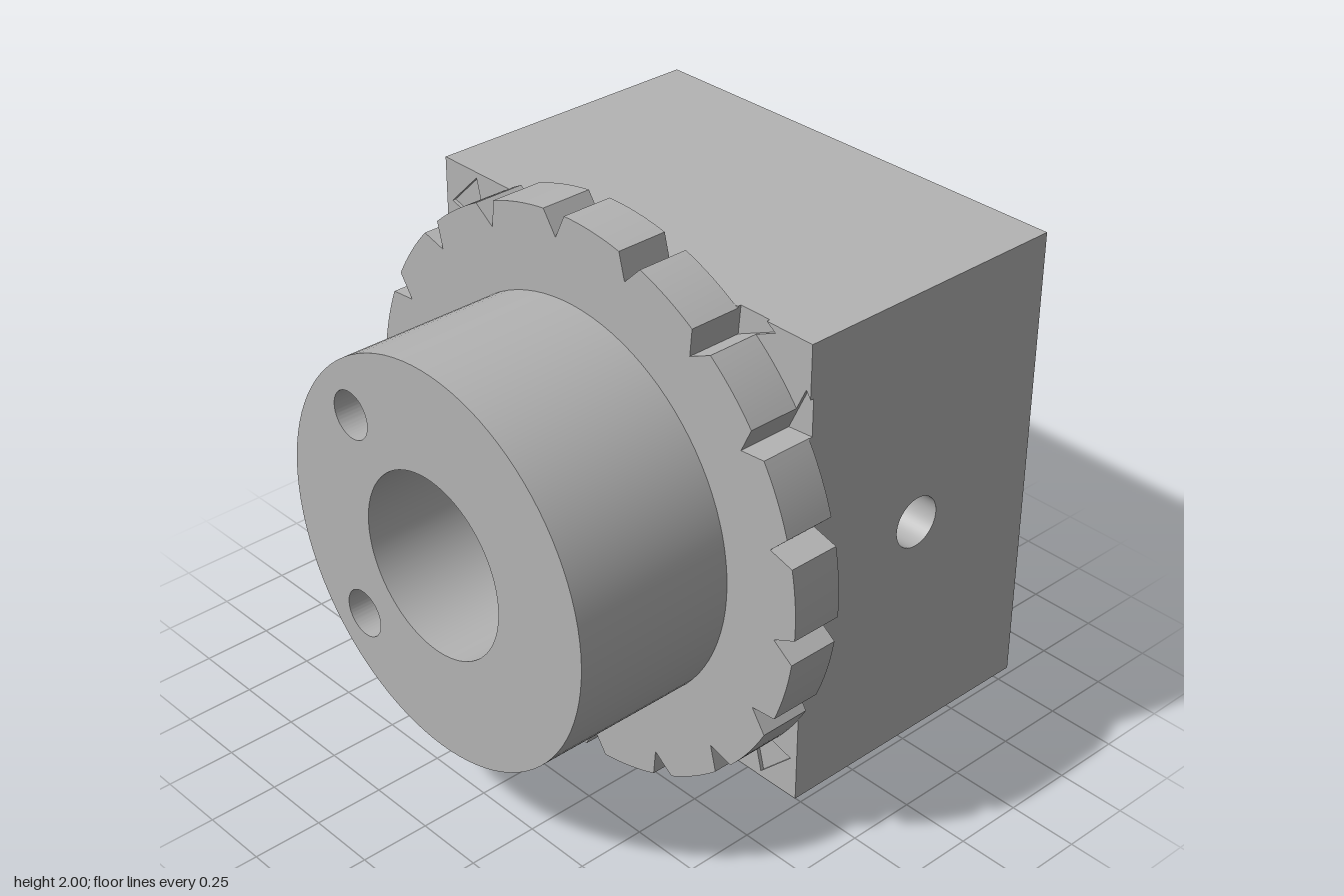
import * as THREE from 'three';
import { toCreasedNormals } from 'three/addons/utils/BufferGeometryUtils.js';
import { ParametricGeometry } from 'three/addons/geometries/ParametricGeometry.js';

const HALF = 0.85, BACK = -0.915, SEAT = 0.12, DISC_BACK = 0.133, DISC_FRONT = 0.32, FRONT = 0.915;
const BORE = 0.323, HUB = 0.705, SCREW = 0.085, SINK = 0.162, SINK_END = -0.1;
const PIN = 0.092, PIN_Z = -0.38;
const SCREWS = [[-0.38, 0.38], [-0.38, -0.38]];
const NOTCHES = 18, NOTCH_R = 0.915, NOTCH_SIDE = 0.185, STEP = Math.PI * 2 / NOTCHES;
const notchAngle = (i) => THREE.MathUtils.degToRad(14.7) + i * STEP;
const polar = (r, a) => new THREE.Vector2(r * Math.cos(a), r * Math.sin(a));

export function createModel() {
  const metal = new THREE.MeshStandardMaterial({ color: 0xb3b3b3, side: THREE.DoubleSide });
  metal.name = 'plain grey metal';
  const model = new THREE.Group();
  const axis = new THREE.Group(); // everything is centred on the bore axis
  axis.name = 'indexingHub';
  axis.position.y = 1;
  model.add(axis);

  const add = (name, geometry) => {
    const mesh = new THREE.Mesh(geometry, metal);
    mesh.name = name;
    axis.add(mesh);
    return mesh;
  };
  const circle = (x, y, r) => new THREE.Path().absarc(x, y, r, 0, Math.PI * 2, true);
  const drill = (shape, screwRadius) => {
    shape.holes.push(circle(0, 0, BORE), ...SCREWS.map(([x, y]) => circle(x, y, screwRadius)));
    return shape;
  };
  const slab = (name, shape, z0, z1) => {
    const g = new THREE.ExtrudeGeometry(shape, { depth: z1 - z0, bevelEnabled: false, curveSegments: 48 });
    g.translate(0, 0, z0);
    return add(name, toCreasedNormals(g, 0.5));
  };
  const square = () => new THREE.Shape([[-1, -1], [1, -1], [1, 1], [-1, 1]]
    .map(([x, y]) => new THREE.Vector2(x * HALF, y * HALF)));

  // Front hub
  slab('frontHub', drill(new THREE.Shape().absarc(0, 0, HUB, 0, Math.PI * 2, false), SCREW), DISC_FRONT, FRONT);

  // Notched disc: arcs between V-shaped cuts
  const c = NOTCH_R * Math.cos(Math.PI / 6);
  const flank = -c + Math.sqrt(c * c + 1 - NOTCH_R * NOTCH_R);
  const mouth = Math.asin(flank / 2);
  const rim = [];
  for (let i = 0; i < NOTCHES; i++) {
    rim.push(polar(NOTCH_R, notchAngle(i)));
    for (let k = 0; k <= 8; k++) rim.push(polar(1, notchAngle(i) + mouth + (STEP - 2 * mouth) * k / 8));
  }
  slab('notchedDisc', drill(new THREE.Shape(rim), SCREW), DISC_BACK, DISC_FRONT);

  // Thin front layer of the block, where the notch cutter left triangular pits
  const outside = (p) => Math.max(Math.abs(p.x), Math.abs(p.y)) - HALF;
  const chains = square().getPoints().slice(0, 4).map((p) => [p]);
  const pits = [];
  for (let i = 0; i < NOTCHES; i++) {
    const a = notchAngle(i), tip = polar(NOTCH_R, a);
    const tri = [tip, polar(NOTCH_SIDE, a + Math.PI / 6).add(tip), polar(NOTCH_SIDE, a - Math.PI / 6).add(tip)];
    const first = tri.findIndex((p) => outside(p) > 0);
    if (first < 0) { pits.push(new THREE.Path(tri)); continue; }
    const chain = [];
    for (let k = 0; k < 3; k++) {
      const p = tri[(first + k) % 3], q = tri[(first + k + 1) % 3];
      const fp = outside(p), fq = outside(q);
      if (fp <= 0) chain.push(p);
      if ((fp > 0) !== (fq > 0)) chain.push(p.clone().lerp(q, fp / (fp - fq)));
    }
    if (chain.length) chains.push(chain);
  }
  chains.sort((p, q) => Math.atan2(p[0].y, p[0].x) - Math.atan2(q[0].y, q[0].x));
  const layer = drill(new THREE.Shape(chains.flat()), SCREW);
  layer.holes.push(...pits);
  slab('blockFrontLayer', layer, SEAT, DISC_BACK);

  // Block faces
  add('blockSeat', new THREE.ShapeGeometry(drill(square(), SCREW), 48)).position.z = SEAT;
  const back = add('blockBack', new THREE.ShapeGeometry(drill(square(), SINK).clone(), 48).scale(-1, 1, 1).rotateY(Math.PI));
  back.geometry = new THREE.ShapeGeometry(drill(square(), SINK), 48);
  const index = back.geometry.index.array; // turn the face to the rear
  index.reverse();
  back.geometry.attributes.normal.array.forEach((n, i, arr) => { arr[i] = -n; });
  back.position.z = BACK;

  const depth = SEAT - BACK, middle = (SEAT + BACK) / 2;
  for (const s of [1, -1]) {
    const lid = add(s > 0 ? 'blockTop' : 'blockBottom', new THREE.PlaneGeometry(2 * HALF, depth).rotateX(-s * Math.PI / 2));
    lid.position.set(0, s * HALF, middle);

    // Side wall with a cross-pin hole
    const wall = new THREE.Shape([[-depth / 2, -HALF], [depth / 2, -HALF], [depth / 2, HALF], [-depth / 2, HALF]]
      .map(([x, y]) => new THREE.Vector2(x, y)));
    wall.holes.push(circle(s * (middle - PIN_Z), 0, PIN));
    const side = add(s > 0 ? 'blockLeftSide' : 'blockRightSide', new THREE.ShapeGeometry(wall, 32).rotateY(s * Math.PI / 2));
    side.position.set(s * HALF, 0, middle);

    // Half of the bore wall, spreading from the pin hole edge
    const half = add('boreWall', new ParametricGeometry((u, v, p) => {
      const t = u * Math.PI * 2, ct = Math.cos(t), st = Math.sin(t);
      const k = 1 / Math.max(Math.abs(ct), Math.abs(st));
      const reach = ct > 0 ? SEAT - PIN_Z : PIN_Z - BACK;
      const angle = THREE.MathUtils.lerp(Math.asin(PIN * st / BORE), k * st * Math.PI / 2, v);
      const z = PIN_Z + THREE.MathUtils.lerp(PIN * ct, k * ct * reach, v);
      p.set(BORE * Math.cos(angle), BORE * Math.sin(angle), z);
    }, 64, 16));

    // Cross-pin hole from the bore to the side wall
    const pin = add('crossPinHole', new ParametricGeometry((u, v, p) => {
      const t = u * Math.PI * 2, y = PIN * Math.sin(t);
      p.set(THREE.MathUtils.lerp(Math.sqrt(BORE * BORE - y * y), HALF, v), y, PIN_Z + PIN * Math.cos(t));
    }, 48, 1));
    half.rotation.z = pin.rotation.z = s > 0 ? 0 : Math.PI;
  }

  // Counterbored screw holes
  const tube = (name, r, [x, y], z0, z1) => {
    const g = new THREE.CylinderGeometry(r, r, z1 - z0, 48, 1, true).rotateX(Math.PI / 2);
    add(name, g).position.set(x, y, (z0 + z1) / 2);
  };
  for (const at of SCREWS) {
    tube('screwHole', SCREW, at, SINK_END, SEAT);
    tube('counterbore', SINK, at, BACK, SINK_END);
    const step = add('counterboreStep', new THREE.RingGeometry(SCREW, SINK, 48).rotateY(Math.PI));
    step.position.set(at[0], at[1], SINK_END);
  }
  return model;
}
